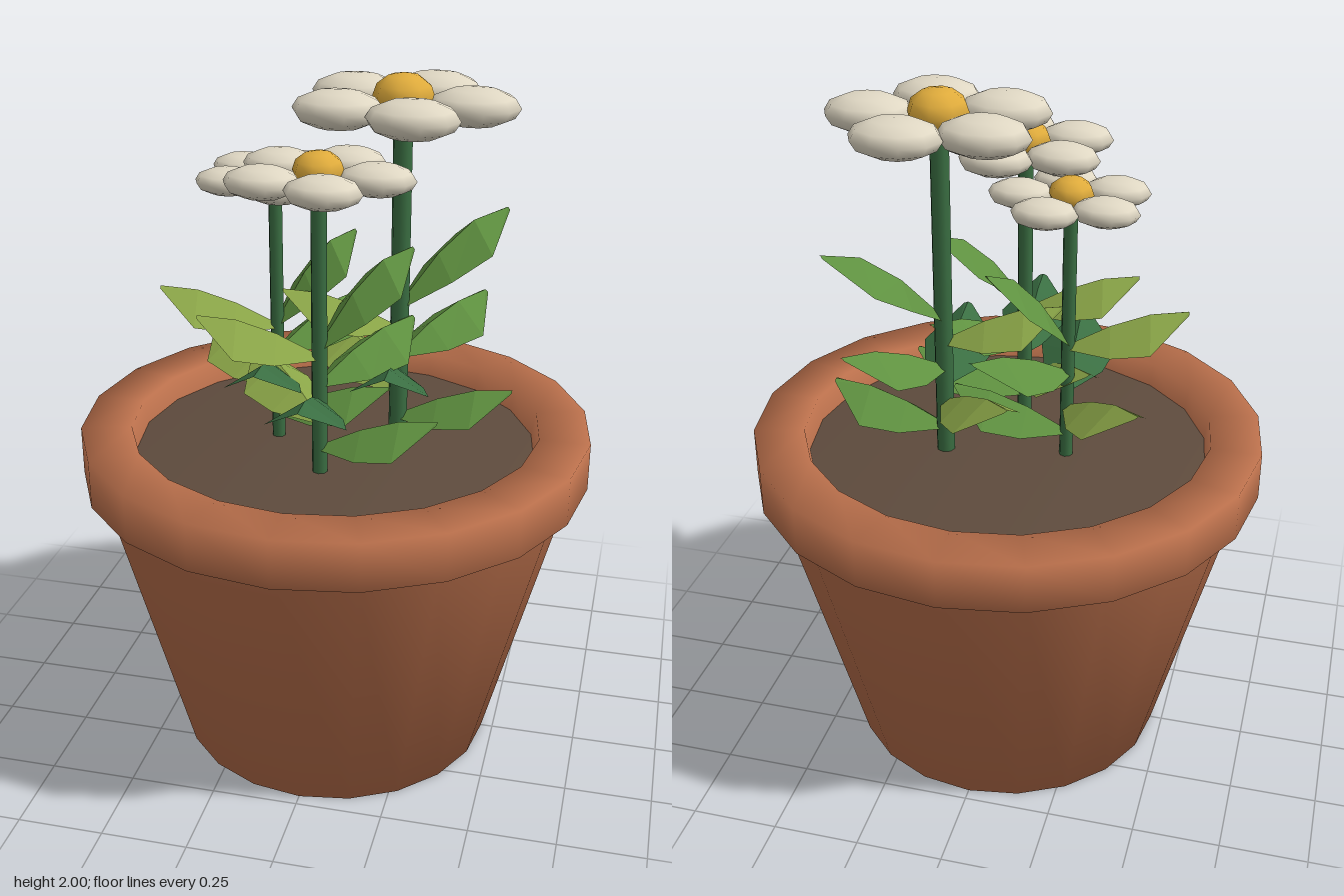
import * as THREE from 'three';

const mat = (name, color, side = THREE.FrontSide) => {
  const m = new THREE.MeshStandardMaterial({ color, side });
  m.name = name;
  return m;
};

// Folded low-poly leaf growing along +x: rows of left edge, ridge, right edge
function leafGeometry(length, rise) {
  const rows = [ // t, half width, ridge height (share of rise), edge drop
    [0, 0.015, 0, 0.01],
    [0.35, 0.085, 0.55, 0.06],
    [0.68, 0.11, 0.9, 0.075],
    [1, 0.012, 1, 0.005],
  ];
  const pos = [], index = [];
  rows.forEach(([t, w, r, drop], i) => {
    const x = t * length, y = r * rise;
    pos.push(x, y - drop, -w, x, y, 0, x, y - drop, w);
    if (i === 0) return;
    const a = (i - 1) * 3, b = i * 3;
    for (const k of [0, 1]) {
      index.push(a + k, a + k + 1, b + k, a + k + 1, b + k + 1, b + k);
    }
  });
  const g = new THREE.BufferGeometry();
  g.setAttribute('position', new THREE.Float32BufferAttribute(pos, 3));
  g.setIndex(index);
  const flat = g.toNonIndexed();
  flat.computeVertexNormals();
  return flat;
}

export function createModel() {
  const model = new THREE.Group();
  model.name = 'pottedFlowers';

  const clay = mat('terracotta', 0xb96f4b);
  const earth = mat('soil', 0x5e4b3d);
  const stemGreen = mat('stemGreen', 0x3a6e42);
  const darkGreen = mat('darkLeafGreen', 0x3a6e42, THREE.DoubleSide);
  const midGreen = mat('leafGreen', 0x5f9140, THREE.DoubleSide);
  const lightGreen = mat('lightLeafGreen', 0x8ba648, THREE.DoubleSide);
  const cream = mat('petalCream', 0xe0d8c4);
  const gold = mat('centreGold', 0xe0ac3c);

  const add = (parent, name, geometry, material, x = 0, y = 0, z = 0) => {
    const mesh = new THREE.Mesh(geometry, material);
    mesh.name = name;
    mesh.position.set(x, y, z);
    parent.add(mesh);
    return mesh;
  };
  const lathe = (points) =>
    new THREE.LatheGeometry(points.map(([r, y]) => new THREE.Vector2(r, y)), 20);

  // Tapered pot with overhanging rim, smoothly shaded in one piece
  add(model, 'pot', lathe([
    [0, 0], [0.465, 0], [0.69, 0.86], [0.735, 0.86], [0.735, 1], [0.59, 1], [0.57, 0.88],
  ]), clay);

  // Soil surface
  add(model, 'soil', lathe([[0.57, 0.87], [0.58, 0.93], [0, 0.93]]), earth);

  // Leaves: angle from +x towards +z, base height, rise, length, colour
  const leaves = [
    [0, 1.01, 0.105, 0.33, midGreen],
    [-138, 1.09, 0.11, 0.325, lightGreen],
    [86, 1.15, 0.1, 0.325, darkGreen],
    [-51, 1.2, 0.12, 0.33, midGreen],
    [169, 1.28, 0.11, 0.33, lightGreen],
  ];

  // Flowers: x, z, petal height, size, height of the top leaf tip
  const flowers = [
    [0.17, -0.065, 1.918, 1, 1.59],
    [0, 0.195, 1.778, 0.82, 1.55],
    [-0.175, -0.01, 1.712, 0.72, 1.53],
  ];

  const sphere = new THREE.SphereGeometry(1, 10, 6);
  const centre = new THREE.SphereGeometry(1, 8, 6);

  for (const [x, z, height, size, topTip] of flowers) {
    const plant = new THREE.Group();
    plant.name = 'flower';
    plant.position.set(x, 0, z);
    model.add(plant);

    // Stem
    const r = 0.027 * Math.sqrt(size) * (0.5 + size / 2);
    const length = height - 0.9;
    add(plant, 'stem', new THREE.CylinderGeometry(r, r, length, 8), stemGreen, 0, 0.9 + length / 2, 0);

    // Leaves spiralling up the stem, with a steeper one on top
    const topLeaf = [-38, topTip - 0.24, 0.24, 0.34 * size, midGreen];
    for (const [angle, y, rise, len, colour] of [...leaves, topLeaf]) {
      add(plant, 'leaf', leafGeometry(len, rise), colour, 0, y, 0)
        .rotation.y = -THREE.MathUtils.degToRad(angle);
    }

    // Five plump petals around a domed centre
    for (let i = 0; i < 5; i++) {
      const a = (i / 5) * Math.PI * 2;
      add(plant, 'petal', sphere, cream,
        Math.cos(a) * 0.19 * size, height, Math.sin(a) * 0.19 * size)
        .scale.set(0.126 * size, 0.053 * size, 0.097 * size);
    }
    add(plant, 'flowerCentre', centre, gold, 0, height + 0.017 * size, 0)
      .scale.set(0.086 * size, 0.065 * size, 0.086 * size);
  }
  return model;
}
